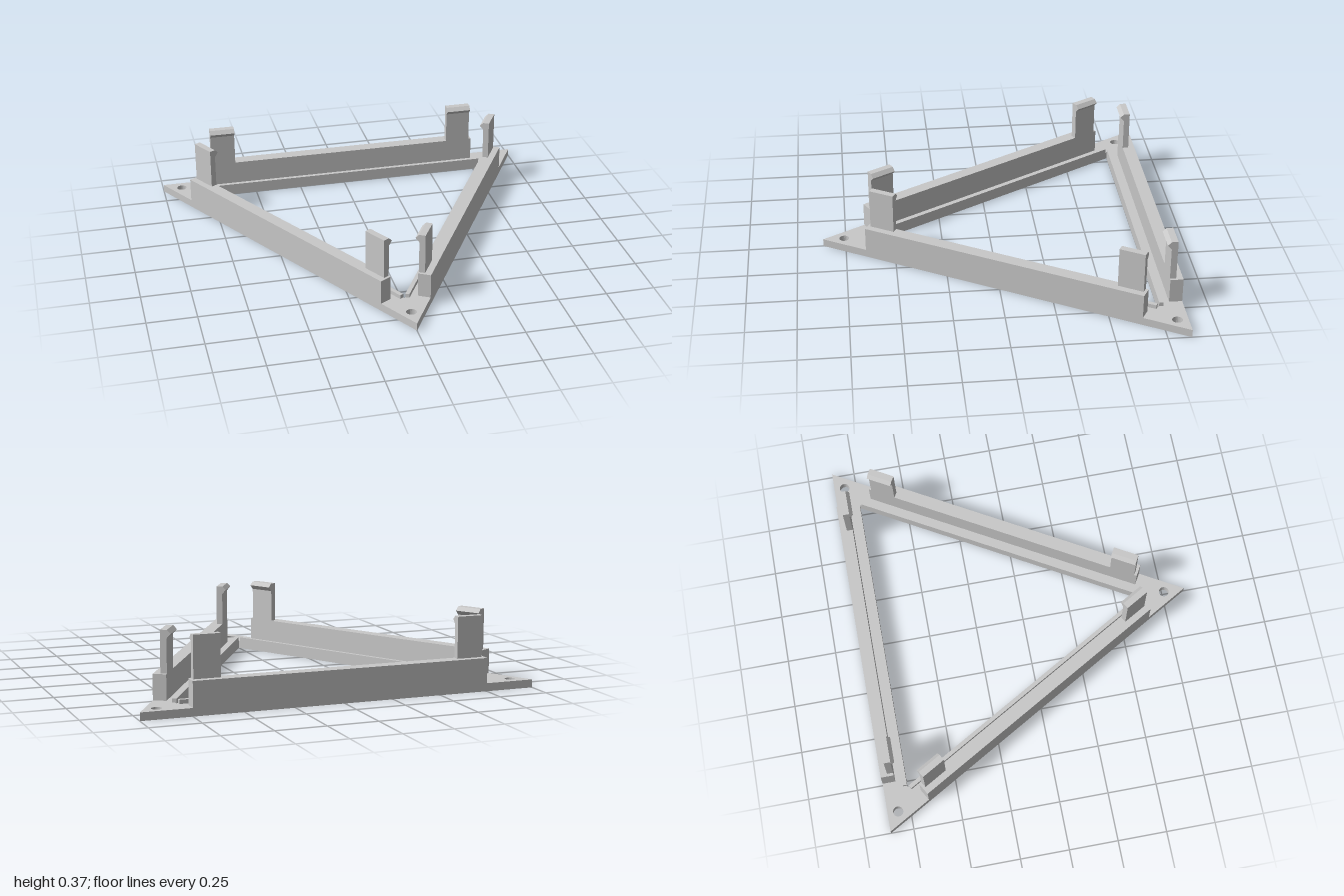
import * as THREE from 'three';

const APOTHEM = 1 / Math.sqrt(3); // equilateral triangle of side 2
const CENTRE_Z = APOTHEM - Math.sqrt(3) / 2;
const BASE = 0.04;
const WALL_TOP = 0.165;
const OPENING = 0.12; // inset of the opening from the outer edge

// Triangle outline around the origin, one corner pointing to +z
function trianglePoints(apothem) {
  return [0, 1, 2].map((k) => {
    const a = -Math.PI / 2 + (k * 2 * Math.PI) / 3;
    return new THREE.Vector2(2 * apothem * Math.cos(a), 2 * apothem * Math.sin(a));
  });
}

// Extrude an [inset from outer edge, height] profile along x, centred on x
function bar(points, length, x = 0) {
  const shape = new THREE.Shape(points.map(([d, y]) => new THREE.Vector2(d, y)));
  const geo = new THREE.ExtrudeGeometry(shape, { depth: length, bevelEnabled: false });
  geo.translate(0, 0, -length / 2);
  geo.rotateY(-Math.PI / 2);
  return geo.translate(x, 0, -APOTHEM);
}

const rect = (d0, d1, y0, y1) => [[d0, y0], [d1, y0], [d1, y1], [d0, y1]];

export function createModel() {
  const model = new THREE.Group();
  model.name = 'triangularFrame';
  const grey = new THREE.MeshStandardMaterial({ color: 0xc8c8c8 });
  grey.name = 'light grey plastic';

  function add(parent, name, geo) {
    const mesh = new THREE.Mesh(geo, grey);
    mesh.name = name;
    parent.add(mesh);
  }

  const frame = new THREE.Group();
  frame.name = 'frame';
  frame.position.z = CENTRE_Z;
  model.add(frame);

  // Flat base with the large opening and a round screw hole near each corner
  // (under 80 outline points in all, which keeps the triangulation exact)
  const outline = new THREE.Shape(trianglePoints(APOTHEM));
  outline.holes.push(new THREE.Path(trianglePoints(APOTHEM - OPENING)));
  for (const corner of trianglePoints(1.046 / 2)) {
    const ring = Array.from({ length: 20 }, (_, i) => {
      const a = (i / 20) * Math.PI * 2;
      return new THREE.Vector2(corner.x + 0.026 * Math.cos(a), corner.y + 0.026 * Math.sin(a));
    });
    outline.holes.push(new THREE.Path(ring));
  }
  const baseGeo = new THREE.ExtrudeGeometry(outline, { depth: BASE, bevelEnabled: false });
  add(frame, 'base', baseGeo.rotateX(-Math.PI / 2));

  // Clip profile with a pointed lip at its top
  const clip = [
    [0.034, WALL_TOP], [0.065, WALL_TOP], [0.065, 0.33],
    [0.085, 0.352], [0.067, 0.371], [0.034, 0.371],
  ];

  // Each side: wall, inner ridge and two clips
  for (let k = 0; k < 3; k++) {
    const side = new THREE.Group();
    side.name = ['backSide', 'rightSide', 'leftSide'][k];
    side.rotation.y = (k * 2 * Math.PI) / 3;
    frame.add(side);
    add(side, 'wall', bar(rect(0, 0.065, BASE, WALL_TOP), 1.5));
    add(side, 'ridge', bar(rect(0.099, OPENING, BASE, 0.06), 1.565));
    for (const s of [-1, 1]) add(side, 'clip', bar(clip, 0.132, s * 0.67));
  }
  return model;
}
